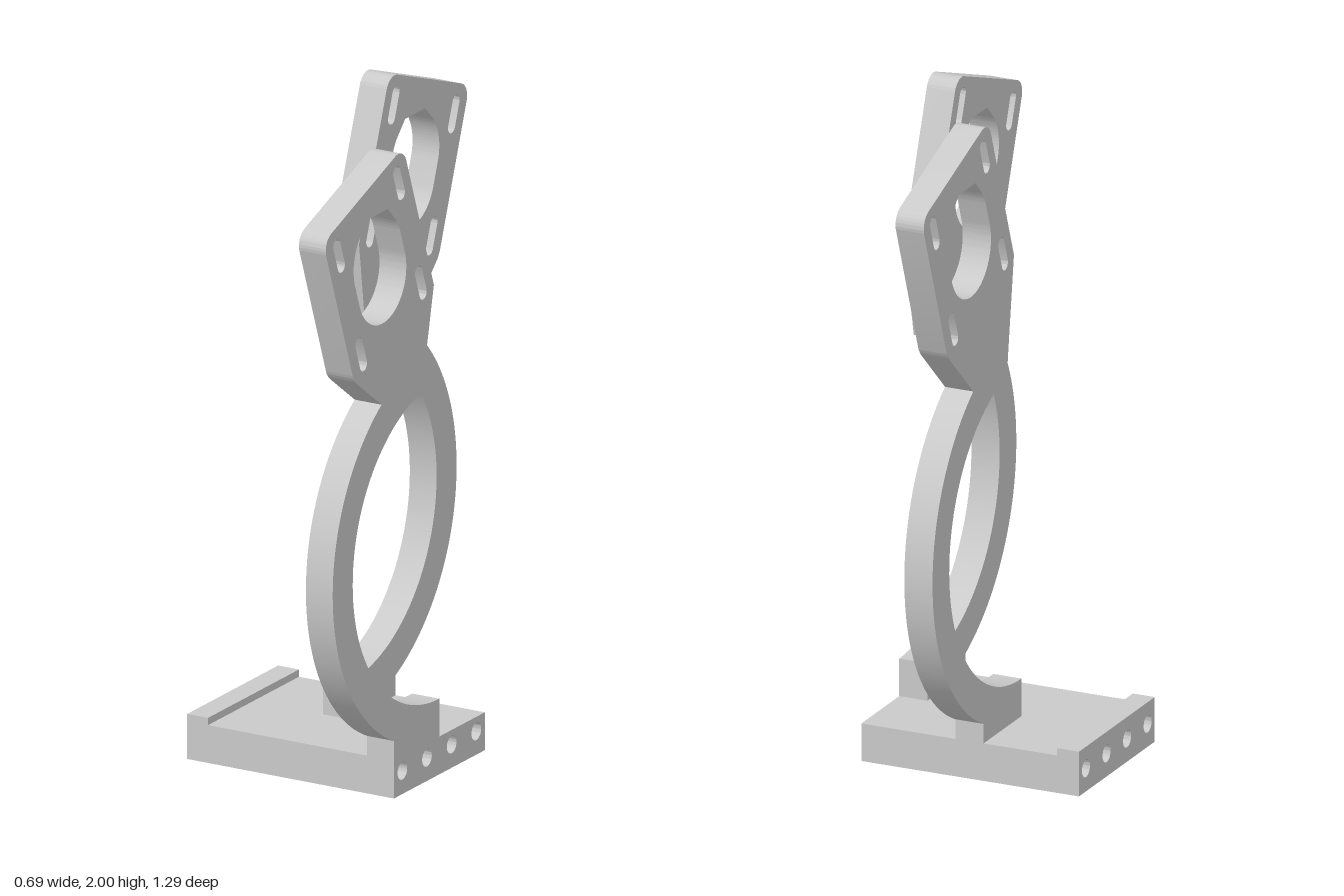
import * as THREE from 'three';
import { toCreasedNormals } from 'three/addons/utils/BufferGeometryUtils.js';

const MID = -0.0095;         // symmetry line in the extrusion plane
const RING_Y = 0.715, R_OUT = 0.597, R_IN = 0.485;
const THICK = 0.09, BASE_TOP = 0.115, HALF_BASE = 0.2545;
const TILT = THREE.MathUtils.degToRad(20);
const SLOT_X = 0.037 * Math.sin(TILT), SLOT_Y = 0.037 * Math.cos(TILT);

// Extrudes a (-z, y) profile along +x, starting at x0
function extrudeX(shape, x0, depth) {
  const geo = new THREE.ExtrudeGeometry(shape, { depth, bevelEnabled: false, curveSegments: 32 });
  geo.rotateY(Math.PI / 2).translate(x0, 0, 0);
  return toCreasedNormals(geo, 0.4);
}

// Rounded 90 degree corner between incoming and outgoing points
function corner(path, prev, p, next, r) {
  const a = p.clone().add(prev.clone().sub(p).setLength(r));
  const b = p.clone().add(next.clone().sub(p).setLength(r));
  const k = 0.552;
  const c = a.clone().lerp(p, k), d = b.clone().lerp(p, k);
  path.lineTo(a.x, a.y);
  path.bezierCurveTo(c.x, c.y, d.x, d.y, b.x, b.y);
}

// Tilted mounting slot
function slot(x, y) {
  const r = 0.02;
  const p = new THREE.Path();
  p.absarc(x + SLOT_X, y + SLOT_Y, r, -TILT, Math.PI - TILT, false);
  p.absarc(x - SLOT_X, y - SLOT_Y, r, Math.PI - TILT, 2 * Math.PI - TILT, false);
  p.closePath();
  return p;
}

// Elongated motor opening with a flat, chamfered top
function opening(x, y) {
  const r = 0.135, t = r * Math.tan(Math.PI / 8), q = Math.PI / 4;
  const topX = x + SLOT_X, topY = y + SLOT_Y;
  const p = new THREE.Path();
  p.absarc(x - SLOT_X, y - SLOT_Y, r, Math.PI - TILT, 2 * Math.PI - TILT, false);
  p.absarc(topX, topY, r, -TILT, q, false);
  p.lineTo(topX + t, topY + r);
  p.lineTo(topX - t, topY + r);
  p.absarc(topX, topY, r, 3 * q, Math.PI - TILT, false);
  p.closePath();
  return p;
}

// Half ring with a tilted motor plate centred on (hx, hy); side mirrors the profile
function armGeometry(hx, hy, side, x0) {
  const [c1, c2, c3, c4] = [[0.146, -0.3], [0.317, 0.17], [-0.131, 0.333], [-0.302, -0.135]]
    .map(([x, y]) => new THREE.Vector2(hx + x, hy + y));
  const neck = new THREE.Vector2(0.321, RING_Y + 0.498);
  const s = new THREE.Shape();
  s.moveTo(0, BASE_TOP);
  s.lineTo(HALF_BASE, BASE_TOP);
  s.absarc(0, RING_Y, R_OUT, -Math.acos(HALF_BASE / R_OUT), Math.atan2(0.498, 0.321), false);
  corner(s, neck, c1, c2, 0.02);
  corner(s, c1, c2, c3, 0.048);
  corner(s, c2, c3, c4, 0.048);
  s.lineTo(c4.x, c4.y);
  s.absarc(0, RING_Y, R_IN, Math.atan2(0.474, 0.098), -Math.PI / 2, true);
  s.closePath();

  const holes = [opening(hx, hy),
    ...[[0.229, 0.106], [-0.107, 0.23], [-0.229, -0.108], [0.105, -0.229]]
      .map(([x, y]) => slot(hx + x, hy + y))];
  // Mirrored outlines are reversed so that their faces still point outward
  const place = (path) => {
    const points = path.getPoints(32).map((p) => new THREE.Vector2(MID + side * p.x, p.y));
    return side < 0 ? points.reverse() : points;
  };
  const placed = new THREE.Shape(place(s));
  placed.holes = holes.map((h) => new THREE.Path(place(h)));
  return extrudeX(placed, x0, THICK);
}

export function createModel() {
  const group = new THREE.Group();
  const grey = new THREE.MeshStandardMaterial({ color: 0xc9c9c9 });
  grey.name = 'grey';
  const add = (name, geo) => {
    const mesh = new THREE.Mesh(geo, grey);
    mesh.name = name;
    group.add(mesh);
  };

  // Base plate with four through holes
  const base = new THREE.Shape();
  base.moveTo(MID - HALF_BASE, 0);
  base.lineTo(MID + HALF_BASE, 0);
  base.lineTo(MID + HALF_BASE, BASE_TOP);
  base.lineTo(MID - HALF_BASE, BASE_TOP);
  base.closePath();
  for (let i = 0; i < 4; i++) {
    const hole = new THREE.Path();
    hole.absarc(MID + (i - 1.5) * 0.138, 0.071, 0.027, 0, Math.PI * 2, false);
    base.holes.push(hole);
  }
  add('basePlate', extrudeX(base, -0.347, 0.694));

  // Raised lip along the far edge of the base
  const lip = new THREE.BoxGeometry(0.07, 0.022, HALF_BASE * 2);
  add('baseLip', lip.translate(-0.312, BASE_TOP + 0.011, -MID));

  // Two opposed arms, offset sideways
  add('frontArm', armGeometry(0.3325, 1.632, -1, 0.257));
  add('backArm', armGeometry(0.3525, 1.681, 1, -0.043));
  return group;
}
